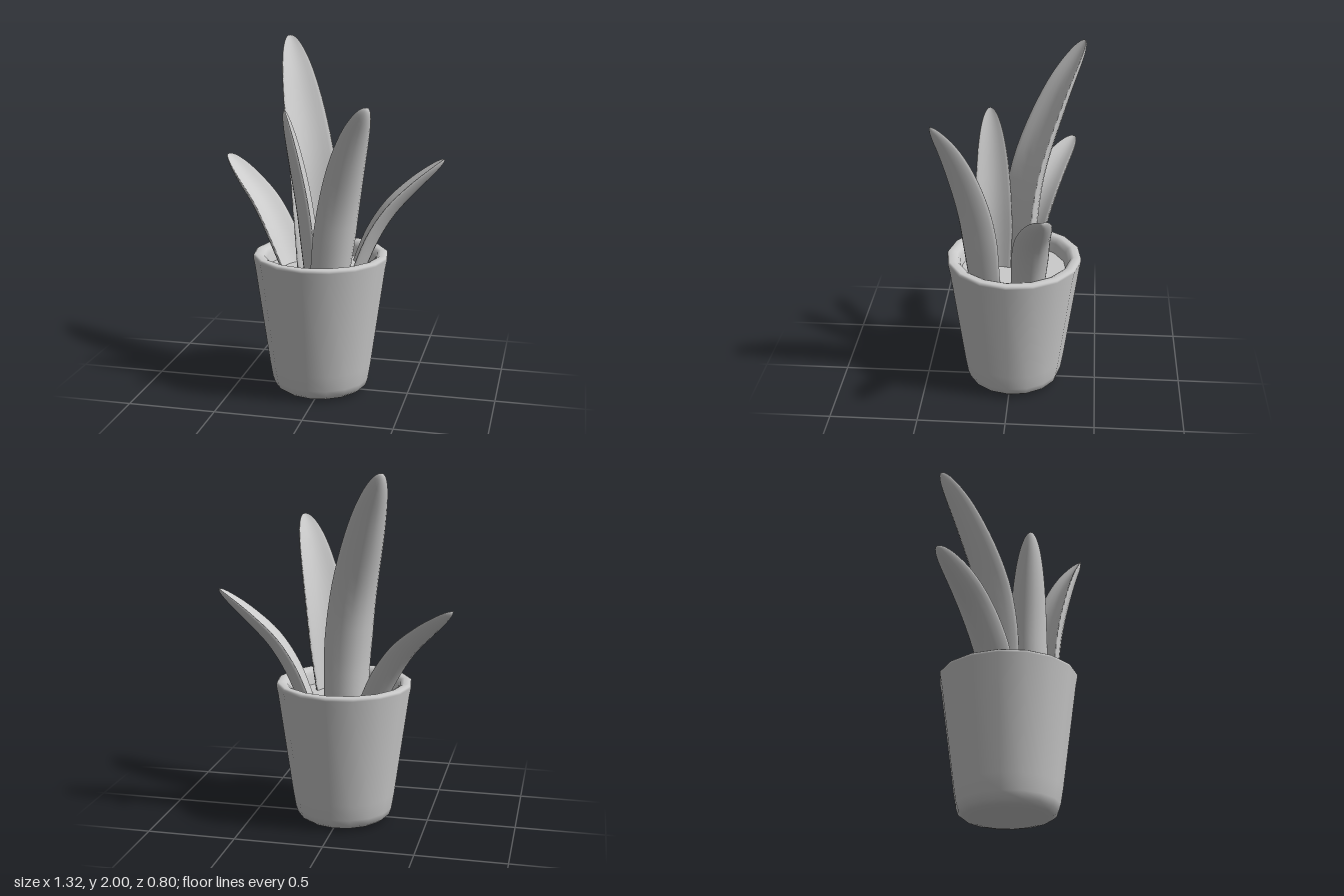
import * as THREE from 'three';

const material = new THREE.MeshStandardMaterial({ color: 0xcccccc });
const leafMaterial = new THREE.MeshStandardMaterial({ color: 0xcccccc, side: THREE.DoubleSide });

// Fleshy channelled leaf: a crescent cross-section swept along a leaning spine.
function makeLeaf(points, width) {
  const rows = 24, sides = 20, depth = width * 0.25, thickness = width * 0.27;
  const curve = new THREE.CatmullRomCurve3(points.map(p => new THREE.Vector3(...p)));
  const lean = curve.getPoint(1).sub(curve.getPoint(0)).setY(0).normalize();
  const side = new THREE.Vector3(0, 1, 0).cross(lean);
  const positions = [], index = [];
  for (let i = 0; i <= rows; i++) {
    const t = Math.sin((i / rows) * Math.PI / 2); // rows gather towards the rounded tip
    const centre = curve.getPointAt(t);
    const inward = curve.getTangentAt(t).cross(side).normalize();
    const taper = Math.sqrt(Math.max(0, 1 - t ** 3)) * (0.9 + 0.1 * Math.min(1, t * 4));
    for (let j = 0; j < sides; j++) {
      const a = (j / sides) * Math.PI * 2, c = Math.cos(a);
      const v = centre.clone()
        .addScaledVector(side, c * width * 0.5 * taper)
        .addScaledVector(inward, (depth * (c * c - 0.5) + thickness * 0.5 * Math.sin(a)) * taper);
      positions.push(v.x, v.y, v.z);
      if (i < rows) {
        const p = i * sides + j, q = i * sides + (j + 1) % sides;
        index.push(p, q, p + sides, q, q + sides, p + sides);
      }
    }
  }
  const geometry = new THREE.BufferGeometry();
  geometry.setAttribute('position', new THREE.Float32BufferAttribute(positions, 3));
  geometry.setIndex(index);
  geometry.computeVertexNormals();
  return new THREE.Mesh(geometry, leafMaterial);
}

export function createModel() {
  const model = new THREE.Group();

  // Tapered pot with a rounded foot and a thick, rounded rim
  const profile = [
    [0, 0], [0.2, 0], [0.242, 0.01], [0.268, 0.03], [0.281, 0.07], [0.296, 0.16], [0.376, 0.74],
    [0.386, 0.79], [0.385, 0.803], [0.375, 0.81], [0.345, 0.81], [0.325, 0.8], [0.312, 0.775], [0.295, 0.69],
  ].map(p => new THREE.Vector2(...p));
  const pot = new THREE.Mesh(new THREE.LatheGeometry(profile, 16), material);
  pot.name = 'pot';
  pot.position.set(-0.014, 0, -0.014);
  pot.rotation.y = -0.05;
  model.add(pot);

  // Soil disc just below the rim
  const soil = new THREE.Mesh(new THREE.CircleGeometry(0.302, 16).rotateX(-Math.PI / 2), material);
  soil.name = 'soil';
  soil.position.set(-0.014, 0.72, -0.014);
  soil.rotation.y = -0.05;
  model.add(soil);

  // Leaves: spine from soil to tip, and greatest width
  const leaves = {
    tallBackLeaf: [[[-0.045, 0.69, -0.05], [-0.06, 1.0, -0.06], [-0.1, 1.32, -0.105], [-0.2, 1.73, -0.25], [-0.285, 2, -0.385]], 0.295],
    frontLeaf: [[[0.09, 0.69, 0.16], [0.148, 1.1, 0.2], [0.2, 1.35, 0.255], [0.258, 1.55, 0.32], [0.315, 1.7, 0.392]], 0.28],
    innerLeaf: [[[-0.027, 0.69, 0.105], [-0.07, 1.08, 0.107], [-0.13, 1.4, 0.118], [-0.185, 1.635, 0.13]], 0.215],
    leftLeaf: [[[0.17, 0.69, -0.108], [0.255, 0.9, -0.122], [0.355, 1.06, -0.138], [0.49, 1.2, -0.167], [0.655, 1.34, -0.197]], 0.21],
    rightLeaf: [[[-0.185, 0.69, -0.05], [-0.29, 0.9, -0.107], [-0.39, 1.05, -0.165], [-0.51, 1.17, -0.233], [-0.655, 1.295, -0.332]], 0.23],
  };
  for (const [name, [spine, width]] of Object.entries(leaves)) {
    const leaf = makeLeaf(spine, width);
    leaf.name = name;
    model.add(leaf);
  }
  return model;
}
